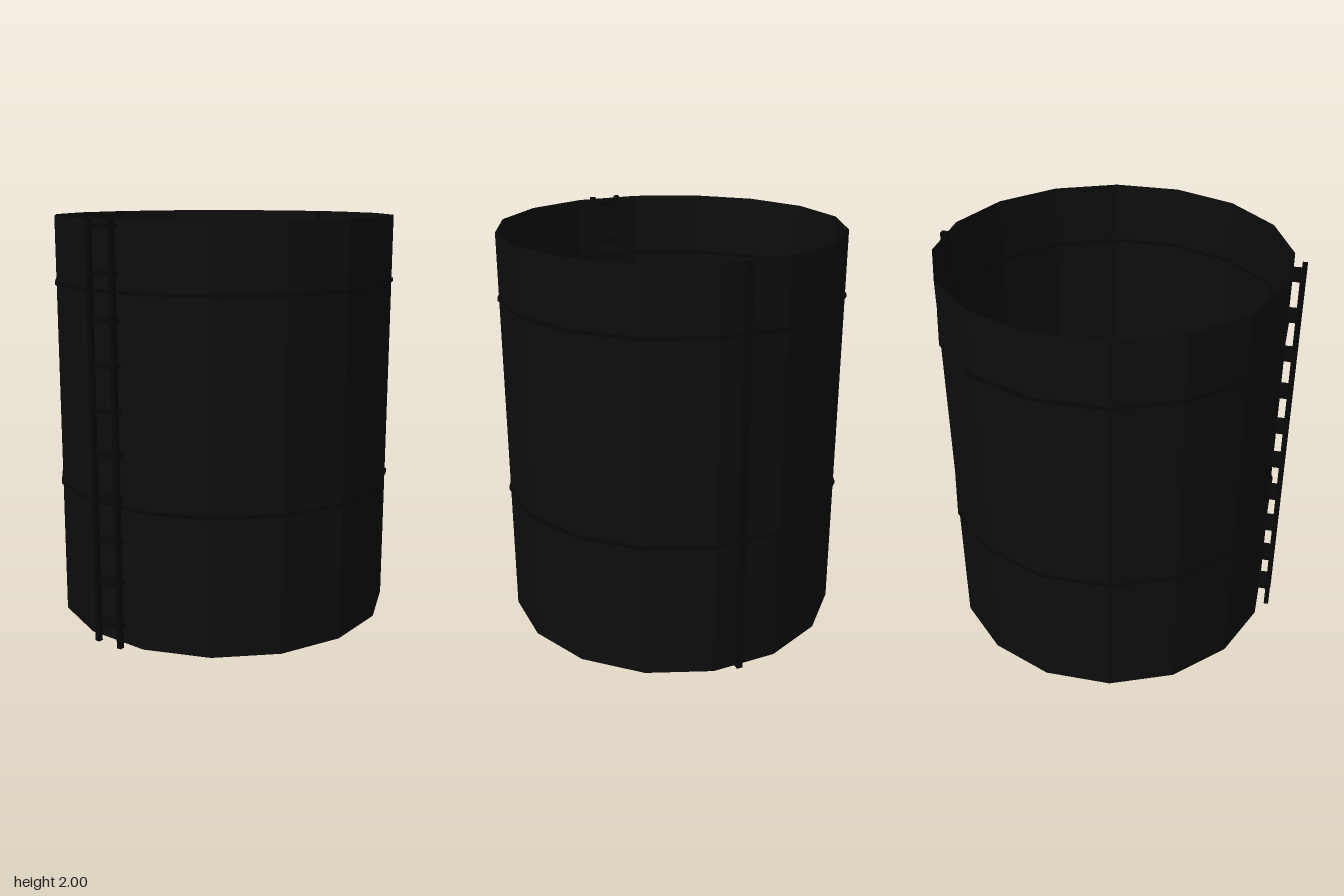
import * as THREE from 'three';

const SIDES = 16;
const CENTER_X = 0.015;
// corner radius of the polygon whose flat sides lie at the given distance
const corner = (apothem) => apothem / Math.cos(Math.PI / SIDES);

export function createModel() {
  const wallPaint = new THREE.MeshStandardMaterial({ color: 0x0d0d0d, side: THREE.DoubleSide });
  wallPaint.name = 'blackWall';
  const trimPaint = new THREE.MeshStandardMaterial({ color: 0x070707, side: THREE.DoubleSide });
  trimPaint.name = 'darkTrim';

  const model = new THREE.Group();
  model.name = 'tank';

  const add = (parent, name, geometry, material, x, y, z) => {
    const mesh = new THREE.Mesh(geometry, material);
    mesh.name = name;
    mesh.position.set(x, y, z);
    parent.add(mesh);
    return mesh;
  };

  // faceted ring of sixteen flat sides, facing +x and +z squarely
  const faceted = (profile) => {
    const points = profile.map(([r, y]) => new THREE.Vector2(corner(r), y));
    const geometry = new THREE.LatheGeometry(points, SIDES, Math.PI / SIDES).toNonIndexed();
    geometry.computeVertexNormals();
    return geometry;
  };

  // open shell, without lid or floor
  add(model, 'shell', faceted([[0.835, 0], [0.835, 2]]), wallPaint, CENTER_X, 0, 0);

  // two thin hoops, showing on both sides of the shell
  const hoop = faceted([[0.843, -0.008], [0.843, 0.008], [0.828, 0.008], [0.828, -0.008], [0.843, -0.008]]);
  for (const y of [0.68, 1.68]) add(model, 'hoop', hoop, trimPaint, CENTER_X, y, 0);

  // ladder on the right side
  const ladder = new THREE.Group();
  ladder.name = 'ladder';
  model.add(ladder);
  const rail = new THREE.BoxGeometry(0.024, 2, 0.024);
  for (const side of [-1, 1]) add(ladder, 'ladderRail', rail, trimPaint, -0.873, 1, side * 0.07 - 0.002);
  const rung = new THREE.BoxGeometry(0.065, 0.02, 0.118);
  for (let i = 0; i < 10; i++) add(ladder, 'ladderRung', rung, trimPaint, -0.844, 0.1 + i * 0.208, -0.002);

  // vertical pipe on the left side
  add(model, 'pipe', new THREE.BoxGeometry(0.034, 2, 0.03), trimPaint, 0.865, 1, 0.04);

  return model;
}
